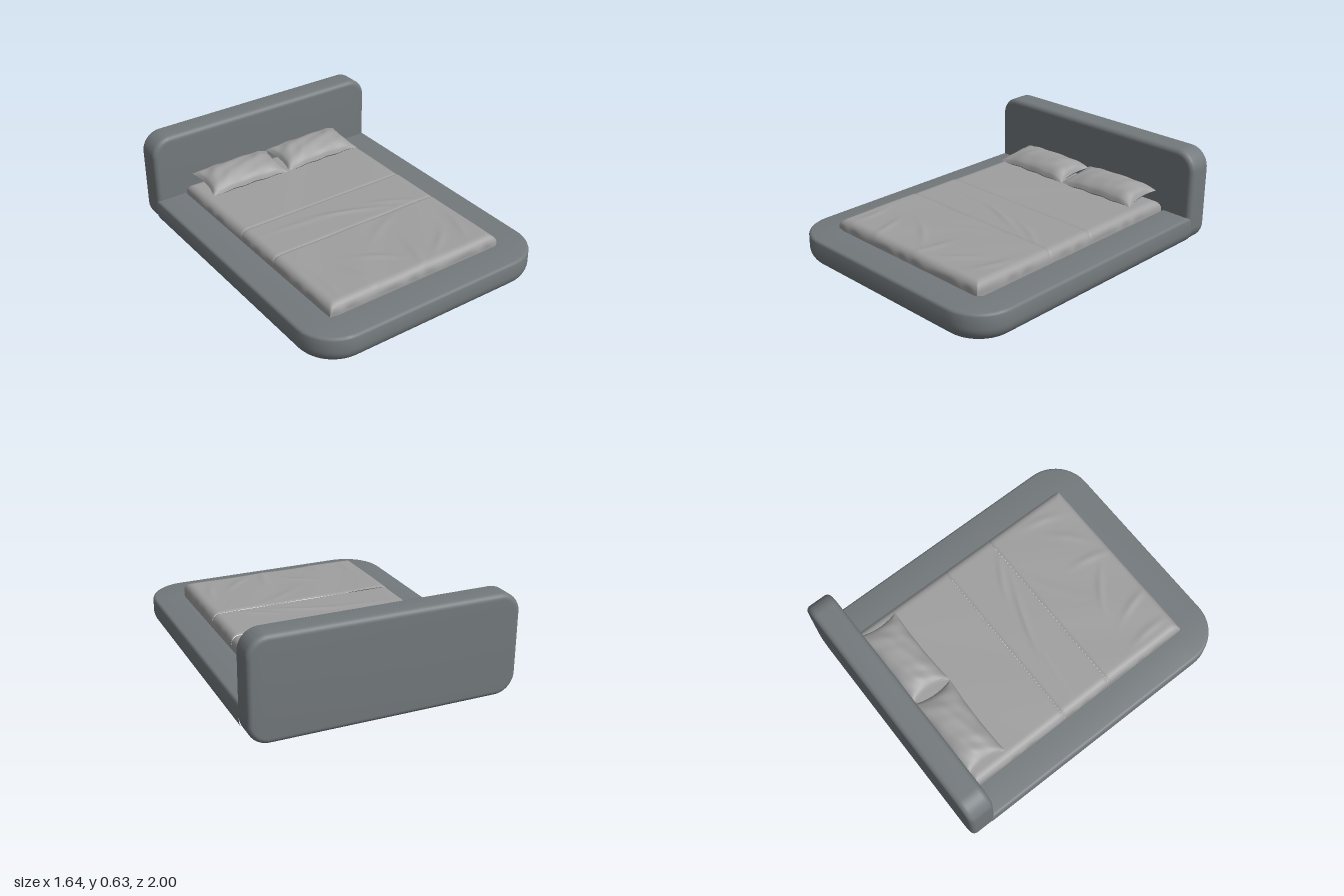
import * as THREE from 'three';
import { toCreasedNormals } from 'three/addons/utils/BufferGeometryUtils.js';

// Grid surface from fn(u, v) -> [x, y, z]; faces point along du x dv
function surface(nu, nv, fn) {
  const pos = [], index = [];
  for (let i = 0; i <= nu; i++)
    for (let j = 0; j <= nv; j++) pos.push(...fn(i / nu, j / nv));
  for (let i = 0; i < nu; i++)
    for (let j = 0; j < nv; j++) {
      const a = i * (nv + 1) + j, b = a + nv + 1;
      index.push(a, b, b + 1, a, b + 1, a + 1);
    }
  const geo = new THREE.BufferGeometry();
  geo.setAttribute('position', new THREE.Float32BufferAttribute(pos, 3));
  geo.setIndex(index);
  geo.computeVertexNormals();
  return geo;
}

const smooth = (a, b, x) => THREE.MathUtils.smoothstep(x, a, b);

// U-shaped base: a rounded profile swept around the bed's outline
function frameGeometry() {
  const X = 0.82, R = 0.25, N = 14;
  const path = [[X, -0.86, 1, 0]];
  for (let i = 0; i <= N; i++) {
    const a = (i / N) * Math.PI / 2, c = Math.cos(a), s = Math.sin(a);
    path.push([X - R + R * c, 1 - R + R * s, c, s]);
  }
  for (const [x, z, nx, nz] of [...path].reverse()) path.push([-x, z, -nx, nz]);

  // Profile as [inset, height]
  const prof = [[0.2, 0.2], [0.02, 0.2], [0.012, 0.198], [0.005, 0.193], [0.001, 0.183]];
  for (let i = 0; i <= 10; i++) {
    const a = (i / 10) * Math.PI / 2;
    prof.push([0.1 - 0.1 * Math.cos(a), 0.11 - 0.1 * Math.sin(a)]);
  }
  prof.push([0.2, 0.01], [0.2, 0.2]);
  const geo = surface(path.length - 1, prof.length - 1, (u, v) => {
    const [x, z, nx, nz] = path[Math.round(u * (path.length - 1))];
    const [d, y] = prof[Math.round(v * (prof.length - 1))];
    return [x - nx * d, y, z - nz * d];
  });
  return toCreasedNormals(geo, 0.6);
}

// Upright slab with large corners and a soft edge all round
function headboardGeometry() {
  const b = 0.032, w = 0.82 - b, y0 = 0.003 + b, y1 = 0.63 - b, r = 0.095;
  const s = new THREE.Shape();
  s.moveTo(-w + r, y0);
  s.lineTo(w - r, y0);
  s.absarc(w - r, y0 + r, r, -Math.PI / 2, 0);
  s.lineTo(w, y1 - r);
  s.absarc(w - r, y1 - r, r, 0, Math.PI / 2);
  s.lineTo(-w + r, y1);
  s.absarc(-w + r, y1 - r, r, Math.PI / 2, Math.PI);
  s.lineTo(-w, y0 + r);
  s.absarc(-w + r, y0 + r, r, Math.PI, Math.PI * 1.5);
  const geo = new THREE.ExtrudeGeometry(s, {
    depth: 0.17 - 2 * b, bevelEnabled: true, bevelSize: b, bevelThickness: b,
    bevelSegments: 6, curveSegments: 10,
  });
  geo.translate(0, 0, -1 + b);
  return toCreasedNormals(geo, 0.5);
}

// Cloth rolling over an edge: returns [position, drop]
const ROLL = 0.05, HANG = 0.075, OVER = ROLL * (Math.PI / 2 - 1) + HANG;
function roll(s, lo, hi) {
  const side = s > (lo + hi) / 2 ? 1 : -1;
  const edge = side > 0 ? hi : lo;
  const t = (s - edge) * side + ROLL;
  if (t <= 0) return [s, 0];
  const a = t / ROLL;
  if (a < Math.PI / 2)
    return [edge + side * ROLL * (Math.sin(a) - 1), ROLL * (1 - Math.cos(a))];
  return [edge, ROLL + t - ROLL * Math.PI / 2];
}

// Draped bedding from z0 to z1 over the mattress block
const LO = -0.825, HI = 0.795, HALF = 0.61;
function beddingGeometry(z0, z1, top, wrinkle) {
  return surface(Math.round((z1 - z0) * 90), 100, (u, v) => {
    const s = z0 + (z1 - z0) * u;
    const [z, dz] = roll(s, LO, HI);
    const [x, dx] = roll((v * 2 - 1) * (HALF + OVER), -HALF, HALF);
    const drop = Math.max(dx, dz);
    const seam = 0.006 * (1 - smooth(0, 0.012, Math.min(s - z0, z1 - s)));
    const ripple = 0.004 * smooth(0.02, 0.07, drop);
    return [
      x - 0.006 + ripple * Math.sin(z * 31 + Math.sin(z * 13) * 2),
      top - drop - seam + wrinkle(x, z) * (1 - smooth(0, 0.08, drop)),
      z + (dz > 0 ? ripple * Math.sin(x * 34 + Math.sin(x * 11) * 2) : 0),
    ];
  });
}

// A soft crease along a line through (x0, z0) at an angle
function crease(x, z, x0, z0, angle, length, width, height) {
  const c = Math.cos(angle), s = Math.sin(angle);
  const along = ((x - x0) * c + (z - z0) * s) / length;
  const across = ((z - z0) * c - (x - x0) * s) / width - along * along * 0.8;
  return height * Math.exp(-along * along * 2 - across * across);
}

const sheetFolds = (x, z) => 0.001 * Math.sin(x * 9 + z * 7);
const throwFolds = (x, z) =>
  crease(x, z, 0.05, 0.06, 0.35, 0.3, 0.018, 0.007) +
  crease(x, z, -0.25, 0.0, 0.12, 0.3, 0.02, 0.004) +
  crease(x, z, 0.35, 0.12, 0.5, 0.2, 0.02, 0.005);
const blanketFolds = (x, z) => {
  let y = 0.0015 * Math.sin(x * 14 + z * 9);
  for (let i = 0; i < 6; i++)
    y += crease(x, z, -0.5 + i * 0.2, 0.62 + 0.06 * Math.sin(i * 2.3),
      1.1 + 0.5 * Math.sin(i * 1.7 + 1) + (i > 2 ? 0.8 : 0), 0.17, 0.022, 0.006);
  return y + crease(x, z, 0.1, 0.32, -0.5, 0.25, 0.03, 0.004);
};

// One face of a pillow: pinched corners, puffed middle, tilted up at the back
function pillowFace(sign, puff) {
  return surface(36, 56, (u, v) => {
    const a = (u * 2 - 1) * sign, b = v * 2 - 1;
    const body = Math.pow((1 - a * a) * (1 - Math.pow(b, 4)), 0.55);
    const folds = 0.05 * Math.sin(b * 15 + a * 4) * Math.abs(b) +
      0.04 * Math.sin(a * 8 + b * 5);
    return [
      b * (0.28 - 0.025 * (1 - a * a)),
      0.303 - 0.016 * a + sign * puff * body * (1 + folds) + 0.003 * Math.sin(b * 11) * a * a,
      a * (0.138 - 0.012 * (1 - b * b)),
    ];
  });
}

export function createModel() {
  const model = new THREE.Group();
  model.name = 'bed';
  const upholstery = new THREE.MeshStandardMaterial({ color: 0x73797c });
  upholstery.name = 'greyUpholstery';
  const linen = new THREE.MeshStandardMaterial({ color: 0x9f9f9f, side: THREE.DoubleSide });
  linen.name = 'lightGreyLinen';
  const add = (name, geo, mat, parent = model) => {
    const mesh = new THREE.Mesh(geo, mat);
    mesh.name = name;
    parent.add(mesh);
    return mesh;
  };

  add('bedFrame', frameGeometry(), upholstery);
  add('headboard', headboardGeometry(), upholstery);

  // Bedding in three lengths, meeting at fine seams
  add('sheet', beddingGeometry(LO - OVER, -0.14, 0.264, sheetFolds), linen);
  add('foldedThrow', beddingGeometry(-0.14, 0.21, 0.268, throwFolds), linen);
  add('blanket', beddingGeometry(0.21, HI + OVER, 0.271, blanketFolds), linen);

  // Pair of pillows against the headboard
  for (const side of [1, -1]) {
    const pillow = new THREE.Group();
    pillow.name = side > 0 ? 'leftPillow' : 'rightPillow';
    add('pillowTop', pillowFace(1, 0.072), linen, pillow);
    add('pillowUnderside', pillowFace(-1, 0.035), linen, pillow);
    pillow.position.set(side * 0.28 - 0.003, 0, -0.69);
    pillow.rotation.y = side * 0.012;
    model.add(pillow);
  }
  return model;
}
